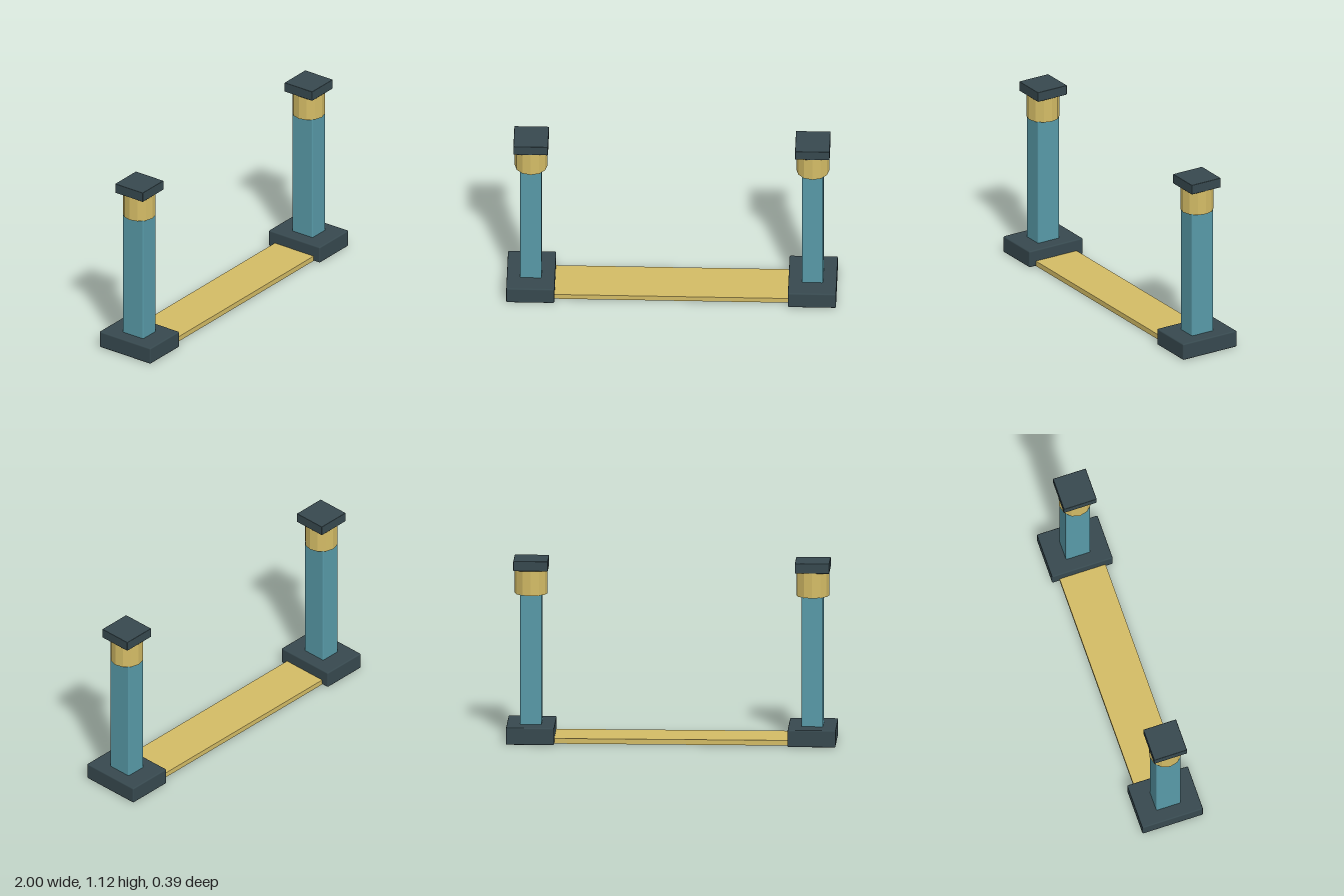
import * as THREE from 'three';
import { RoundedBoxGeometry } from 'three/addons/geometries/RoundedBoxGeometry.js';

const material = (color, flatShading = false) => new THREE.MeshStandardMaterial({ color, flatShading });

export function createModel() {
  const model = new THREE.Group();
  const dark = material(0x37494f);
  const teal = material(0x589aa8);
  const gold = material(0xd4bc66, true);

  function add(parent, name, geometry, mat, y) {
    const mesh = new THREE.Mesh(geometry, mat);
    mesh.name = name;
    mesh.position.y = y;
    parent.add(mesh);
  }

  // Two matching posts, each on a heavy base with a faceted collar and square cap
  for (const [name, x] of [['leftPost', 0.854], ['rightPost', -0.854]]) {
    const post = new THREE.Group();
    post.name = name;
    post.position.x = x;
    add(post, 'base', new RoundedBoxGeometry(0.292, 0.105, 0.388, 2, 0.008), dark, 0.0525);
    add(post, 'column', new RoundedBoxGeometry(0.13, 0.905, 0.156, 2, 0.008), teal, 0.4575);
    add(post, 'collar', new THREE.CylinderGeometry(0.1, 0.1, 0.155, 12), gold, 0.98);
    add(post, 'cap', new RoundedBoxGeometry(0.21, 0.062, 0.21, 2, 0.004), dark, 1.087);
    model.add(post);
  }

  // Flat threshold strip joining the bases
  add(model, 'threshold', new THREE.BoxGeometry(1.42, 0.032, 0.294), gold, 0.017);

  return model;
}
